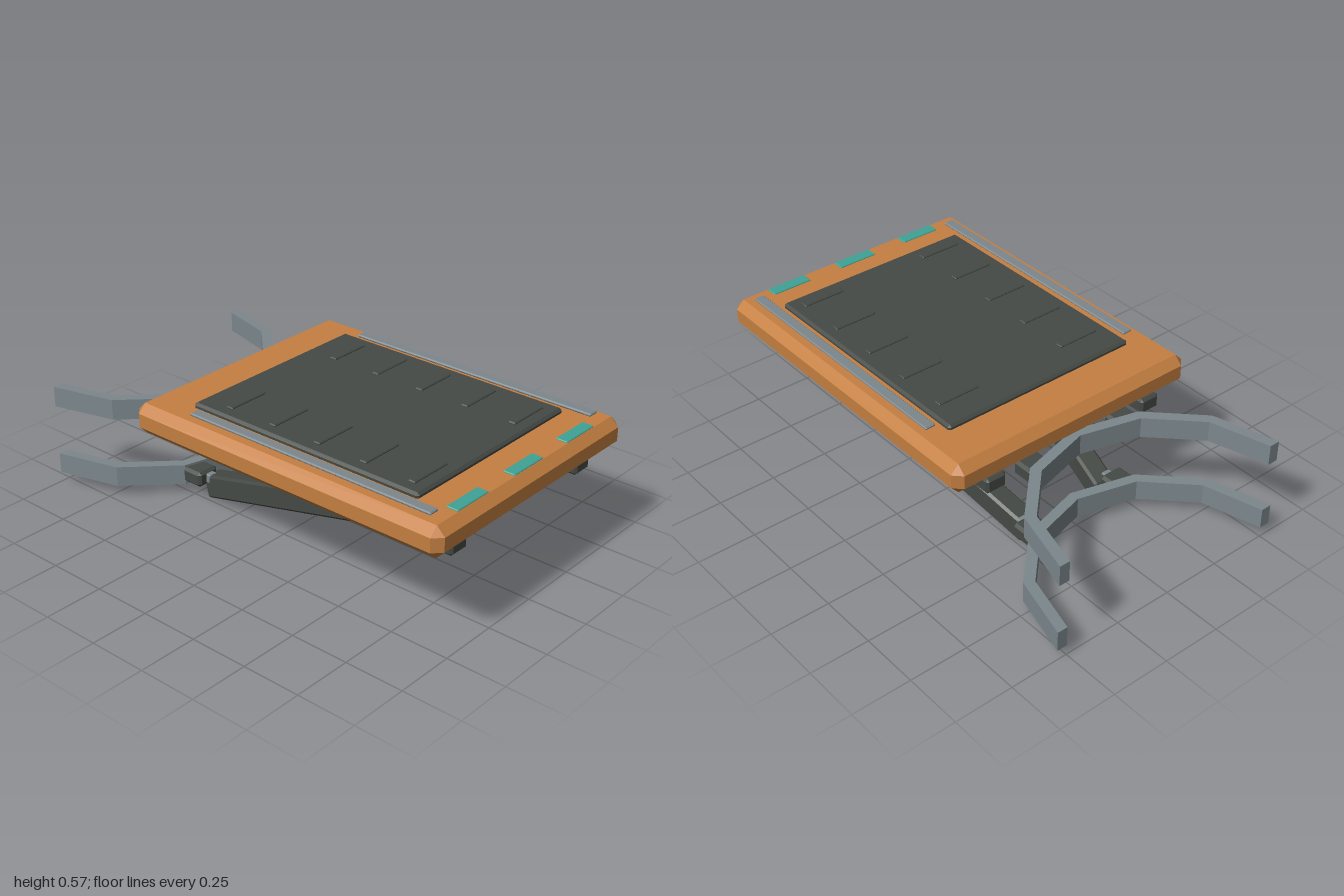
import * as THREE from 'three';
import { ConvexGeometry } from 'three/addons/geometries/ConvexGeometry.js';

const material = (name, color) => {
  const m = new THREE.MeshStandardMaterial({ color });
  m.name = name;
  return m;
};

// Box with every edge cut by a flat chamfer c
function chamferBox(w, h, d, c) {
  const points = [];
  for (const x of [-1, 1]) for (const y of [-1, 1]) for (const z of [-1, 1]) {
    const X = w / 2, Y = h / 2, Z = d / 2;
    points.push(
      new THREE.Vector3(x * X, y * (Y - c), z * (Z - c)),
      new THREE.Vector3(x * (X - c), y * Y, z * (Z - c)),
      new THREE.Vector3(x * (X - c), y * (Y - c), z * Z));
  }
  return new ConvexGeometry(points);
}

export function createModel() {
  const model = new THREE.Group();
  const orange = material('orange paint', 0xc47f41);
  const dark = material('dark rubber and steel', 0x454a45);
  const grey = material('grey metal', 0x7c878c);
  const teal = material('teal marker', 0x3fa396);

  const add = (name, geometry, mat) => {
    const mesh = new THREE.Mesh(geometry, mat);
    mesh.name = name;
    model.add(mesh);
    return mesh;
  };
  // Chamfered box given by its extents on each axis
  const block = (name, mat, [x0, x1], [y0, y1], [z0, z1], c) => {
    const mesh = add(name, chamferBox(x1 - x0, y1 - y0, z1 - z0, c), mat);
    mesh.position.set((x0 + x1) / 2, (y0 + y1) / 2, (z0 + z1) / 2);
    return mesh;
  };
  const span = (side, a, b) => (side > 0 ? [a, b] : [-b, -a]);

  // Deck and its rubber mat
  block('platform', orange, [-0.485, 1], [0.425, 0.553], [-0.575, 0.575], 0.035);
  block('mat', dark, [-0.28, 0.81], [0.545, 0.574], [-0.446, 0.446], 0.01);

  // Markers along the outer edge
  for (const z of [-0.333, 0, 0.333])
    block('edgeMarker', teal, [0.912, 0.963], [0.55, 0.558], [z - 0.089, z + 0.089], 0.003);

  for (const side of [1, -1]) {
    // Grip ribs and side trims
    for (let i = 0; i < 5; i++) {
      const x = -0.14 + i * 0.22;
      block('gripRib', dark, [x - 0.016, x + 0.016], [0.565, 0.581], span(side, 0.205, 0.395), 0.004);
    }
    block('sideTrim', grey, [-0.23, 0.918], [0.559, 0.571], span(side, 0.47, 0.515), 0.004);

    // Rail under the deck
    block('underRail', dark, [-0.48, 0.952], [0.37, 0.435], span(side, 0.34, 0.432), 0.01);

    // Diagonal brace
    const low = new THREE.Vector3(-0.445, 0.055, 0.19 * side);
    const high = new THREE.Vector3(0.63, 0.408, 0.37 * side);
    const brace = add('diagonalBrace', chamferBox(0.09, 0.1, low.distanceTo(high), 0.01), dark);
    brace.position.copy(low).add(high).multiplyScalar(0.5);
    brace.lookAt(high);

    // Clamps that hold the two collars, each with a short pin
    for (const y of [0.405, 0.1]) {
      block('collarClamp', dark, [-0.54, -0.44], [y - 0.033, y + 0.033], span(side, 0.172, 0.278), 0.012);
      block('clampPin', grey, [-0.5, -0.418], [y - 0.02, y + 0.02], span(side, 0.2, 0.24), 0.004);
    }
  }

  // Half-ring collars made of straight 30 degree segments
  const collar = new THREE.Shape();
  const arc = (radius, i) => [-1 + radius * Math.cos(i * Math.PI / 6), radius * Math.sin(i * Math.PI / 6)];
  collar.moveTo(...arc(0.543, -3));
  for (let i = -2; i <= 3; i++) collar.lineTo(...arc(0.543, i));
  for (let i = 3; i >= -3; i--) collar.lineTo(...arc(0.498, i));
  collar.closePath();
  const collarGeometry = new THREE.ExtrudeGeometry(collar, { depth: 0.088, bevelEnabled: false });
  collarGeometry.rotateX(-Math.PI / 2);
  add('upperCollar', collarGeometry, grey).position.y = 0.361;
  add('lowerCollar', collarGeometry, grey).position.y = 0.054;

  return model;
}
